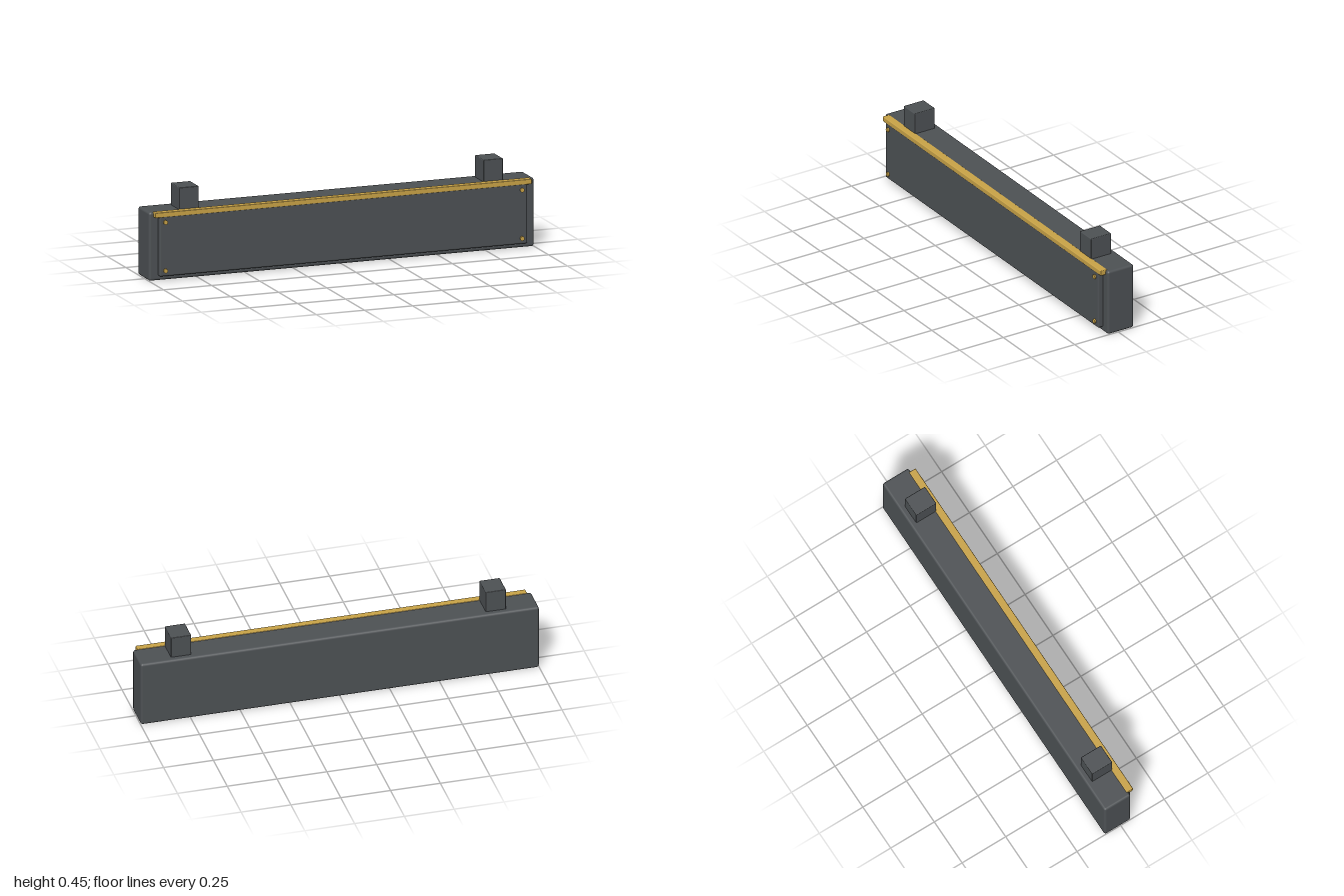
import * as THREE from 'three';
import { RoundedBoxGeometry } from 'three/addons/geometries/RoundedBoxGeometry.js';

export function createModel() {
  const model = new THREE.Group();
  model.name = 'wallBox';

  const charcoal = new THREE.MeshStandardMaterial({ color: 0x4d5154 });
  charcoal.name = 'charcoal';
  const gold = new THREE.MeshStandardMaterial({ color: 0xc9a347 });
  gold.name = 'gold';

  // Rounded block given by its limits on each axis
  function block(name, [x0, x1], [y0, y1], [z0, z1], radius, material) {
    const geometry = new RoundedBoxGeometry(x1 - x0, y1 - y0, z1 - z0, 2, radius);
    const mesh = new THREE.Mesh(geometry, material);
    mesh.name = name;
    mesh.position.set((x0 + x1) / 2, (y0 + y1) / 2, (z0 + z1) / 2);
    model.add(mesh);
  }

  // Long housing with its raised front panel and top trim
  block('housing', [-1, 1], [0.002, 0.343], [-0.091, 0.059], 0.012, charcoal);
  block('frontPanel', [-0.955, 0.955], [0.026, 0.325], [0.03, 0.086], 0.008, charcoal);
  block('topTrim', [-0.978, 0.978], [0.319, 0.345], [0.048, 0.086], 0.004, gold);

  // Mounting blocks and panel screws, mirrored left and right
  const screwGeometry = new THREE.CylinderGeometry(0.011, 0.011, 0.014, 12);
  screwGeometry.rotateX(Math.PI / 2);
  for (const side of [-1, 1]) {
    const label = side > 0 ? 'left' : 'right';
    const x = side * 0.79;
    block(`${label}MountingBlock`, [x - 0.051, x + 0.051], [0.32, 0.452], [-0.062, 0.053], 0.004, charcoal);
    for (const [row, y] of [['Lower', 0.054], ['Upper', 0.295]]) {
      const screw = new THREE.Mesh(screwGeometry, gold);
      screw.name = `${label}${row}Screw`;
      screw.position.set(side * 0.926, y, 0.087);
      model.add(screw);
    }
  }

  return model;
}
